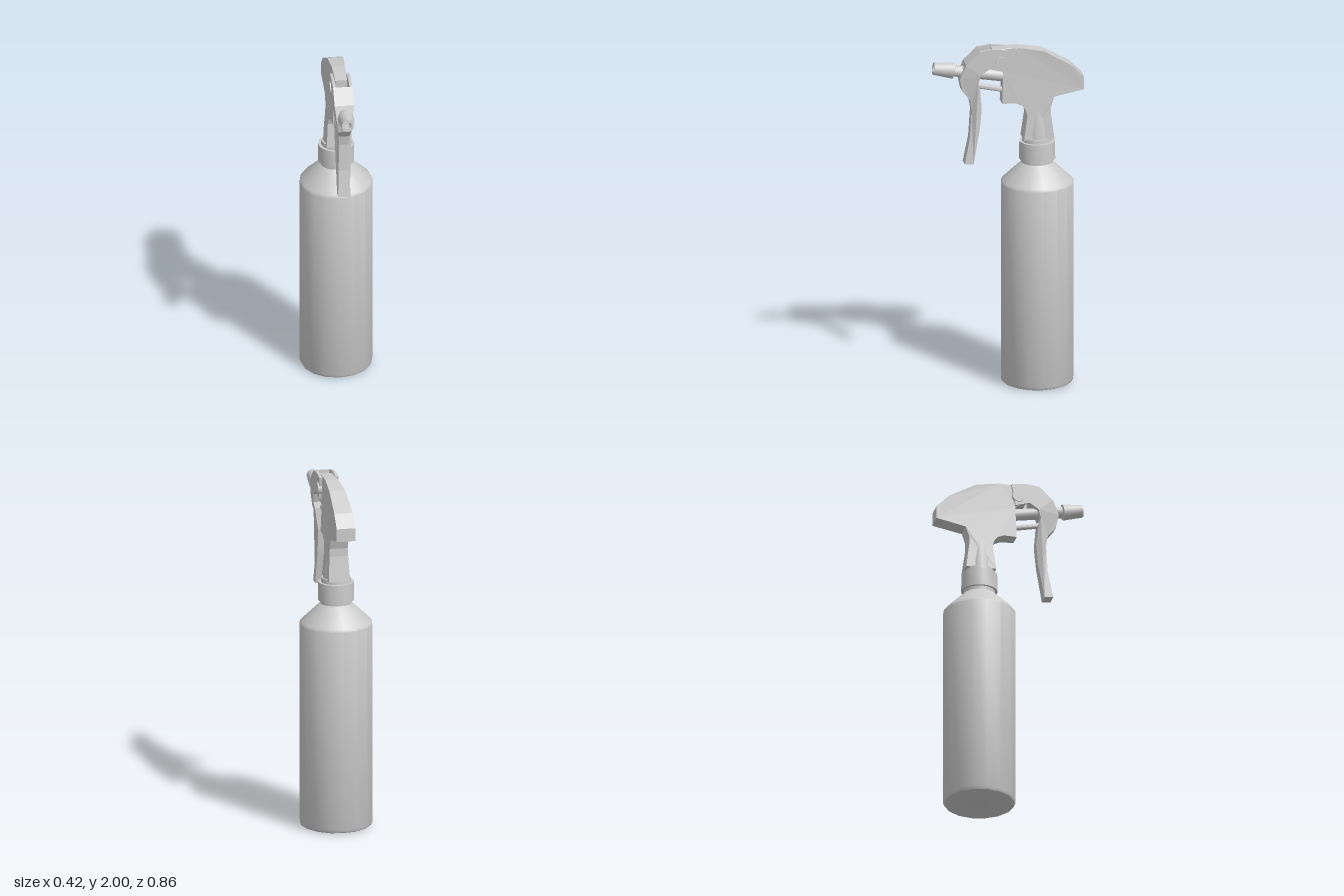
import * as THREE from 'three';
import { toCreasedNormals } from 'three/addons/utils/BufferGeometryUtils.js';

const grey = new THREE.MeshStandardMaterial({ color: 0xcccccc });
const AXIS_Z = -0.17; // centre line of the bottle

// Prism across x from a side outline of [z, y, halfWidth] points, centred on x = cx
function prism(name, points, cx = 0) {
  const flat = points.map(([z, y]) => new THREE.Vector2(z, y));
  if (THREE.ShapeUtils.isClockWise(flat)) {
    flat.reverse();
    points = [...points].reverse();
  }
  const pos = [];
  const put = (i, side) => pos.push(cx + side * points[i][2], points[i][1], points[i][0]);
  for (const [a, b, c] of THREE.ShapeUtils.triangulateShape(flat, [])) {
    [a, b, c].forEach((i) => put(i, -1));
    [c, b, a].forEach((i) => put(i, 1));
  }
  points.forEach((_, a) => {
    const b = (a + 1) % points.length;
    put(a, 1); put(b, 1); put(b, -1);
    put(a, 1); put(b, -1); put(a, -1);
  });
  const geo = new THREE.BufferGeometry();
  geo.setAttribute('position', new THREE.Float32BufferAttribute(pos, 3));
  geo.computeVertexNormals();
  return named(name, geo);
}

function named(name, geo) {
  const mesh = new THREE.Mesh(geo, grey);
  mesh.name = name;
  return mesh;
}

// Turned part from [radius, height] points, with sharp rims
function turned(name, profile, sides = 16) {
  const geo = new THREE.LatheGeometry(profile.map(([r, y]) => new THREE.Vector2(r, y)), sides);
  return named(name, toCreasedNormals(geo, 0.6));
}

export function createModel() {
  const model = new THREE.Group();
  model.name = 'sprayBottle';

  // Bottle, screw collar and the round column inside the neck
  const upright = new THREE.Group();
  upright.name = 'bottleAndCollar';
  upright.position.z = AXIS_Z;
  upright.add(
    turned('bottle', [[0, 0], [0.185, 0], [0.2, 0.007], [0.208, 0.025], [0.208, 1.185],
      [0.2, 1.2], [0.1, 1.295], [0.09, 1.305], [0.09, 1.34], [0, 1.34]]),
    turned('collar', [[0, 1.325], [0.103, 1.325], [0.101, 1.43], [0.085, 1.43], [0.083, 1.455], [0, 1.455]], 24),
    turned('neckColumn', [[0, 1.44], [0.075, 1.44], [0.07, 1.5], [0.057, 1.6], [0.045, 1.68], [0, 1.68]]),
  );
  model.add(upright);

  // Spray head with its neck
  model.add(prism('sprayHead', [
    [0.09, 1.99, 0.034], [0.0, 1.995, 0.034], [-0.06, 1.995, 0.037], [-0.2, 1.97, 0.046],
    [-0.36, 1.88, 0.053], [-0.43, 1.81, 0.055], [-0.43, 1.735, 0.055], [-0.26, 1.7, 0.052],
    [-0.24, 1.64, 0.052], [-0.24, 1.595, 0.054], [-0.26, 1.45, 0.062],
    [-0.085, 1.45, 0.062], [-0.105, 1.595, 0.054], [-0.095, 1.63, 0.052], [-0.075, 1.655, 0.05],
    [-0.04, 1.67, 0.047], [0.037, 1.67, 0.042], [0.03, 1.86, 0.036], [0.09, 1.885, 0.034],
  ]));

  // Trigger: lever, cross block and two cheeks with pivot discs
  const trigger = new THREE.Group();
  trigger.name = 'trigger';
  trigger.add(
    prism('triggerLever', [
      [0.165, 1.99, 0.055], [0.245, 1.915, 0.055], [0.28, 1.83, 0.046], [0.265, 1.755, 0.038],
      [0.22, 1.7, 0.03], [0.21, 1.64, 0.026], [0.22, 1.475, 0.03], [0.25, 1.32, 0.036],
      [0.2, 1.315, 0.036], [0.165, 1.51, 0.03], [0.152, 1.64, 0.03], [0.165, 1.765, 0.045],
      [0.175, 1.8, 0.052], [0.16, 1.85, 0.055],
    ]),
    prism('crossBlock', [
      [0.11, 1.945, 0.041], [0.167, 1.965, 0.041], [0.162, 1.85, 0.041], [0.112, 1.885, 0.041],
    ]),
  );
  for (const side of [-1, 1]) {
    trigger.add(prism('triggerCheek', [
      [0.005, 1.99, 0.008], [0.095, 2, 0.008], [0.165, 1.99, 0.008],
      [0.16, 1.85, 0.008], [0.11, 1.885, 0.008], [0.028, 1.862, 0.008],
    ], side * 0.047));
    const disc = named('pivotDisc', toCreasedNormals(new THREE.CylinderGeometry(0.035, 0.035, 0.022, 16), 0.6));
    disc.rotation.z = Math.PI / 2;
    disc.position.set(side * 0.051, 1.92, 0.045);
    trigger.add(disc);
  }
  model.add(trigger);

  // Nozzle with a hollow tip, and the thin plunger rod below it
  const nozzle = turned('nozzle', [[0, -0.03], [0.033, -0.03], [0.033, 0.28], [0.046, 0.285],
    [0.035, 0.4], [0.021, 0.4], [0.017, 0.34], [0, 0.34]]);
  nozzle.position.set(0, 1.825, 0.03);
  nozzle.rotation.x = Math.PI / 2 - 0.16;
  const rod = named('plungerRod', toCreasedNormals(new THREE.CylinderGeometry(0.016, 0.016, 0.19, 10), 0.7));
  rod.position.set(0, 1.758, 0.1);
  rod.rotation.x = Math.PI / 2 - 0.2;
  model.add(nozzle, rod);

  return model;
}
